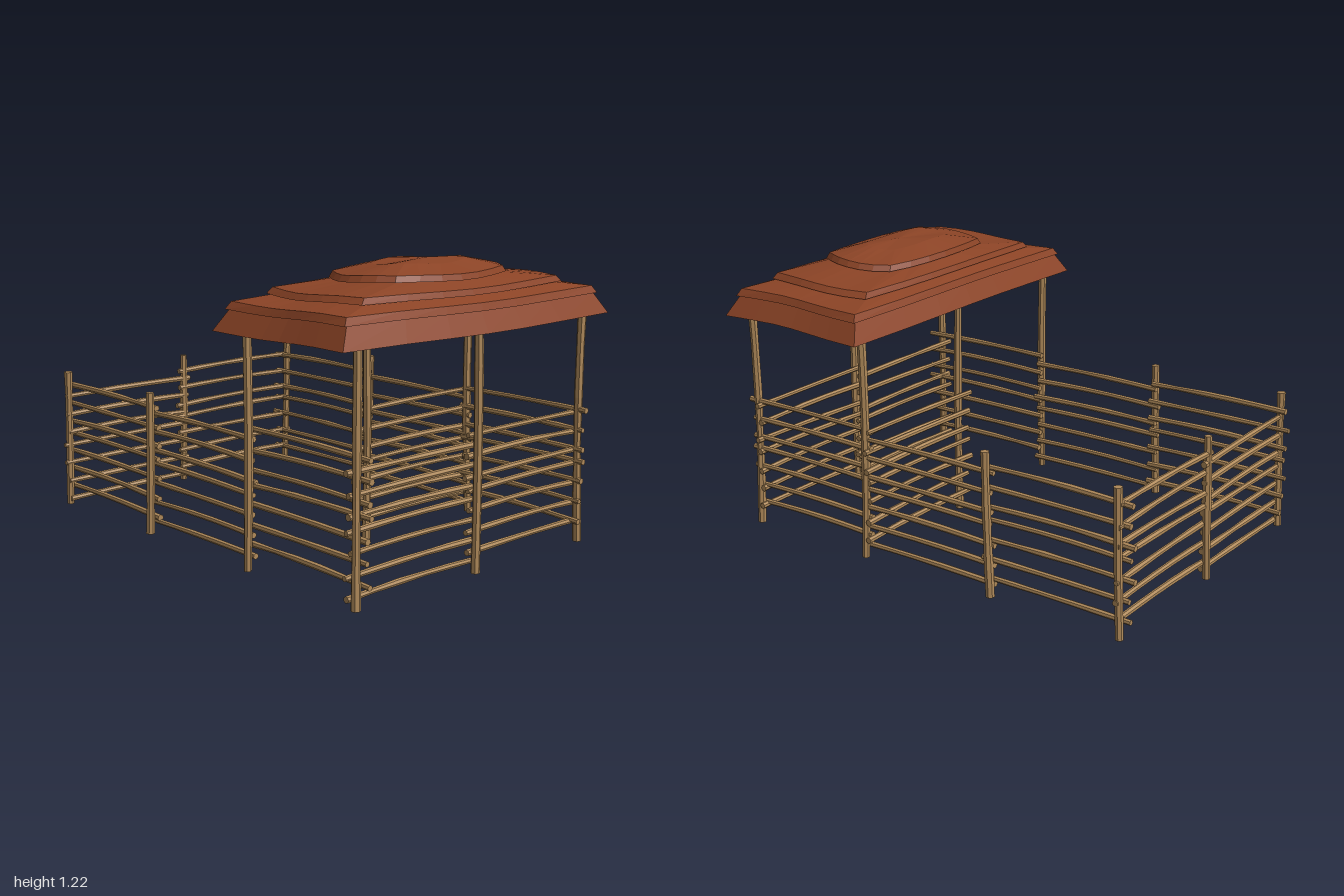
import * as THREE from 'three';

const wood = new THREE.MeshStandardMaterial({ color: 0xb08a5a, flatShading: true });
const clay = new THREE.MeshStandardMaterial({ color: 0x8c4426, flatShading: true, side: THREE.DoubleSide });

let seed = 7;
const jitter = (a) => {
  seed = (seed * 16807) % 2147483647;
  return (seed / 2147483647 * 2 - 1) * a;
};

// Rough round timber from a to b, bowed sideways by the vector bend
function log(name, a, b, r, bend) {
  const A = new THREE.Vector3(...a), B = new THREE.Vector3(...b);
  const dir = B.clone().sub(A), len = dir.length(), rows = 5;
  const geo = new THREE.CylinderGeometry(r, r, len, 7, rows);
  const thick = Array.from({ length: rows + 1 }, () => 1 + jitter(0.15));
  const q = new THREE.Quaternion().setFromUnitVectors(new THREE.Vector3(0, 1, 0), dir.normalize());
  const mid = A.add(B).multiplyScalar(0.5);
  const bow = new THREE.Vector3(...bend), p = new THREE.Vector3(), pos = geo.attributes.position;
  for (let i = 0; i < pos.count; i++) {
    p.fromBufferAttribute(pos, i);
    const t = p.y / len + 0.5, k = thick[Math.round(t * rows)];
    p.x *= k;
    p.z *= k;
    p.applyQuaternion(q).add(mid).addScaledVector(bow, Math.sin(Math.PI * t));
    pos.setXYZ(i, p.x, p.y, p.z);
  }
  geo.computeVertexNormals();
  const mesh = new THREE.Mesh(geo, wood);
  mesh.name = name;
  return mesh;
}

// Seven rails between two ground points [x, z], shifted up by lift
const railHeights = [0.085, 0.167, 0.252, 0.335, 0.39, 0.472, 0.555];
function fencePanel(name, [x0, z0], [x1, z1], lift) {
  const panel = new THREE.Group();
  panel.name = name;
  const alongX = Math.abs(x1 - x0) > Math.abs(z1 - z0);
  for (const h of railHeights) {
    const e0 = jitter(0.014), e1 = jitter(0.014), s = jitter(0.004), y = h + lift;
    const a = alongX ? [x0 + e0, y - 0.004 + s, z0 + s] : [x0 + s, y - 0.004 + s, z0 + e0];
    const b = alongX ? [x1 + e1, y - s, z1 - s] : [x1 - s, y - s, z1 + e1];
    panel.add(log('rail', a, b, 0.0125, [0, 0.005 + jitter(0.004), 0]));
  }
  return panel;
}

// One roof layer: rings [halfX, halfZ, y, squareness], joined from the lip inward
function roofLayer(name, rings, peak) {
  const n = 24, verts = [], idx = [];
  rings.forEach(([hx, hz, y, sq], r) => {
    for (let i = 0; i < n; i++) {
      const t = i / n * Math.PI * 2, c = Math.cos(t), s = Math.sin(t);
      const round = THREE.MathUtils.lerp(1, 1 / Math.max(Math.abs(c), Math.abs(s)), sq);
      // ends pinch in and long sides swell out slightly
      const k = round * (1 - 0.025 * Math.cos(2 * t));
      const w = 0.006 * Math.sin(3 * t + 0.5);
      verts.push(hx * c * k, y + w, hz * s * k);
      if (r < rings.length - 1) {
        const a = r * n + i, b = r * n + (i + 1) % n;
        idx.push(a, a + n, b, b, a + n, b + n);
      }
    }
  });
  if (peak) {
    const top = verts.length / 3, base = top - n;
    verts.push(0.04, peak, 0);
    for (let i = 0; i < n; i++) idx.push(base + i, top, base + (i + 1) % n);
  }
  const geo = new THREE.BufferGeometry();
  geo.setAttribute('position', new THREE.Float32BufferAttribute(verts, 3));
  geo.setIndex(idx);
  geo.computeVertexNormals();
  const mesh = new THREE.Mesh(geo, clay);
  mesh.name = name;
  return mesh;
}

export function createModel() {
  const model = new THREE.Group();

  // Tall posts carrying the roof
  for (const z of [0.93, 0.315]) {
    for (const [x, lean, bow] of [[-0.63, 0.008, 0.004], [0.017, -0.004, 0.003], [0.655, -0.01, -0.012]]) {
      model.add(log('roofPost', [x, 0, z], [x + lean, 1.03, z - 0.005], 0.0175, [bow, 0, jitter(0.006)]));
    }
  }

  // Short posts of the open pen
  for (const [x, z] of [[-0.632, -0.952], [0.015, -0.957], [0.657, -0.947], [-0.638, -0.325], [0.66, -0.345]]) {
    model.add(log('fencePost', [x, 0.012, z], [x + jitter(0.006), 0.625, z + 0.022], 0.0175, [0, 0, 0.003]));
  }

  // Front and back fences, plus the half partition beneath the roof
  for (const [side, z] of [['front', 0.905], ['back', -0.935]]) {
    model.add(fencePanel(side + 'FenceRight', [-0.65, z], [0.03, z], -0.04));
    model.add(fencePanel(side + 'FenceLeft', [-0.02, z], [0.665, z], 0));
  }
  model.add(fencePanel('partition', [-0.02, 0.288], [0.66, 0.288], 0));

  // Side fences, three bays each
  for (const [side, x] of [['right', -0.597], ['left', 0.635]]) {
    model.add(fencePanel(side + 'FenceFrontBay', [x, 0.965], [x, 0.295], 0.013));
    model.add(fencePanel(side + 'FenceMiddleBay', [x, 0.325], [x, -0.345], -0.026));
    model.add(fencePanel(side + 'FenceBackBay', [x, -0.305], [x, -0.985], 0));
  }

  // Layered roof, each layer's lip overhanging the one below
  const roof = new THREE.Group();
  roof.name = 'roof';
  roof.position.set(0.002, 0, 0.615);
  roof.add(
    roofLayer('eave', [[0.745, 0.362, 0.963, 1], [0.69, 0.322, 1.048, 1], [0.6, 0.28, 1.058, 0.9]]),
    roofLayer('lowerLayer', [[0.712, 0.333, 1.046, 0.98], [0.697, 0.322, 1.076, 0.95], [0.56, 0.26, 1.1, 0.72]]),
    roofLayer('middleLayer', [[0.61, 0.285, 1.1, 0.72], [0.59, 0.276, 1.124, 0.7], [0.34, 0.2, 1.15, 0.3]]),
    roofLayer('topLayer', [[0.392, 0.227, 1.152, 0.3], [0.375, 0.218, 1.176, 0.3], [0.22, 0.113, 1.206, 0.2]], 1.215)
  );
  model.add(roof);
  return model;
}
